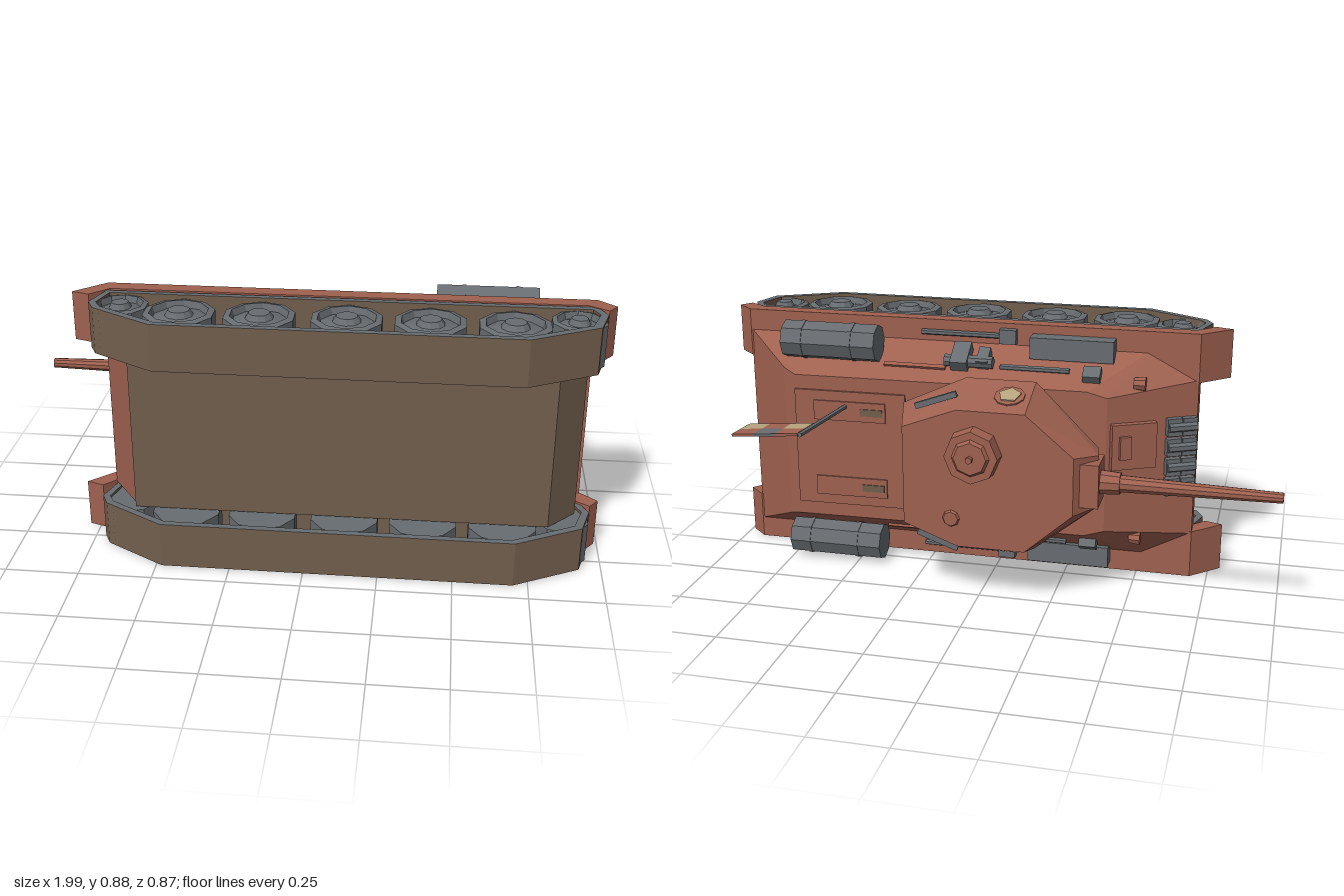
import * as THREE from 'three';
import { ConvexGeometry } from 'three/addons/geometries/ConvexGeometry.js';

export function createModel() {
  const mat = (name, color) => {
    const m = new THREE.MeshStandardMaterial({ color });
    m.name = name;
    return m;
  };
  const red = mat('rust red', 0x9f6150);
  const brown = mat('track brown', 0x725f4d);
  const grey = mat('steel grey', 0x686d71);
  const cream = mat('cream', 0xb7a37e);

  // Tank frame: front is -x, up is +y, sides are +-z; tipped onto its side at the end
  const tank = new THREE.Group();
  tank.name = 'tank';
  const flat = (g) => {
    const f = g.index ? g.toNonIndexed() : g;
    f.computeVertexNormals();
    return f;
  };
  const add = (name, geo, material, p = [0, 0, 0], r = [0, 0, 0], parent = tank) => {
    const m = new THREE.Mesh(flat(geo), material);
    m.name = name;
    m.position.set(...p);
    m.rotation.set(...r);
    parent.add(m);
    return m;
  };
  const box = (name, size, material, p, r, parent) =>
    add(name, new THREE.BoxGeometry(...size), material, p, r, parent);
  const shape = (pts) => new THREE.Shape(pts.map((p) => new THREE.Vector2(...p)));
  const slab = (name, s, depth, material, z) =>
    add(name, new THREE.ExtrudeGeometry(s, { depth, bevelEnabled: false }), material, [0, 0, z - depth / 2]);
  // Convex body from [x, y, halfWidth] points mirrored across z
  const solid = (name, pts, material) =>
    add(name, new ConvexGeometry(pts.flatMap(([x, y, z]) =>
      [new THREE.Vector3(x, y, z), new THREE.Vector3(x, y, -z)])), material);
  // Cylinder lying along x
  const rod = (name, r0, r1, length, sides, material, p, tilt = 0) =>
    add(name, new THREE.CylinderGeometry(r0, r1, length, sides), material, p, [0, 0, Math.PI / 2 + tilt]);

  // Lower hull with its belly plate
  slab('lowerHull', shape([[-0.58, -0.305], [0.805, -0.305], [0.895, -0.21], [0.92, -0.08],
    [-0.69, -0.08], [-0.69, -0.15]]), 0.55, red, 0);
  slab('bellyPlate', shape([[-0.585, -0.312], [0.81, -0.312], [0.905, -0.21], [0.895, -0.21],
    [0.805, -0.305], [-0.585, -0.305]]), 0.56, brown, 0);

  // Sloped upper hull and engine deck
  solid('upperHull', [[-0.69, -0.08, 0.28], [-0.52, -0.08, 0.37], [0.93, -0.08, 0.37],
    [-0.4, 0.07, 0.24], [-0.33, 0.075, 0.26], [0.7, 0.098, 0.26], [0.75, 0.07, 0.275]], red);
  box('engineDeck', [0.4, 0.014, 0.42], red, [0.5, 0.096, 0], [0, 0, 0.02]);
  for (const z of [-0.14, 0.14]) {
    box('deckVent', [0.26, 0.01, 0.07], red, [0.5, 0.104, z], [0, 0, 0.02]);
    box('ventGrille', [0.08, 0.008, 0.025], brown, [0.42, 0.107, z], [0, 0, 0.02]);
  }

  // Glacis hatch and spare track links, laid along the front slope
  const glacis = new THREE.Group();
  glacis.name = 'glacis';
  glacis.position.set(-0.55, -0.007, 0);
  glacis.rotation.z = Math.atan2(0.15, 0.29);
  tank.add(glacis);
  box('driverHatch', [0.16, 0.03, 0.16], red, [0.075, 0.008, 0.07], [0, 0, 0], glacis);
  box('hatchPeriscope', [0.04, 0.02, 0.08], red, [0.11, 0.028, 0.07], [0, 0, 0], glacis);
  for (let i = 0; i < 4; i++) {
    const z = -0.09 + i * 0.072;
    for (const x of [-0.125, -0.07]) box('spareLink', [0.052, 0.03, 0.062], grey, [x, 0.008, z], [0, 0, 0], glacis);
    add('linkPin', new THREE.CylinderGeometry(0.016, 0.016, 0.1, 6), grey, [-0.0975, 0.022, z],
      [0, 0, Math.PI / 2], glacis);
  }

  // Running gear profiles
  const trackOuter = [[-0.68, -0.14], [-0.715, -0.25], [-0.69, -0.3], [-0.48, -0.425], [0.7, -0.43],
    [0.925, -0.31], [0.955, -0.2], [0.925, -0.135]];
  const trackInner = [[-0.665, -0.16], [-0.69, -0.25], [-0.67, -0.285], [-0.47, -0.402], [0.69, -0.407],
    [0.9, -0.295], [0.93, -0.2], [0.91, -0.158]];
  const wheelGeo = (r) => new THREE.LatheGeometry([[0, 0], [r, 0], [r, 0.14], [r * 0.82, 0.145],
    [r * 0.76, 0.122], [r * 0.4, 0.132], [r * 0.3, 0.15], [0, 0.15]]
    .map((p) => new THREE.Vector2(...p)), 10);
  const wheels = [[-0.41, -0.287, 0.118], [-0.15, -0.287, 0.118], [0.13, -0.287, 0.118],
    [0.395, -0.287, 0.118], [0.66, -0.287, 0.118], [-0.612, -0.24, 0.092], [0.862, -0.235, 0.09]];

  for (const s of [-1, 1]) {
    // Track loop: grey edges, brown treads
    const loop = shape(trackOuter);
    loop.holes.push(new THREE.Path(trackInner.map((p) => new THREE.Vector2(...p))));
    slab('track', loop, 0.16, [grey, brown], s * 0.36);
    // Fender with drooping ends
    slab('fender', shape([[-0.79, -0.17], [-0.73, -0.19], [-0.67, -0.13], [0.9, -0.13], [0.96, -0.17],
      [0.99, -0.13], [0.93, -0.075], [-0.69, -0.075]]), 0.17, red, s * 0.3575);
    // Road wheels, idler and sprocket
    for (const [x, y, r] of wheels) {
      add('wheel', wheelGeo(r), grey, [x, y, s * 0.29], [s * Math.PI / 2, 0, 0]);
    }
    // Fuel drum with straps
    rod('fuelDrum', 0.066, 0.066, 0.34, 8, grey, [0.58, 0.032, s * 0.372]);
    for (const x of [0.5, 0.68]) rod('drumStrap', 0.069, 0.069, 0.012, 8, grey, [x, 0.032, s * 0.372]);
    // Stowage and tools on the fender and sloped side
    const tilt = [s * -0.57, 0, 0];
    box('stowageBox', [0.29, 0.06, 0.075], grey, [-0.26, -0.042, s * 0.375]);
    box('smallBox', [0.06, 0.05, 0.05], grey, [-0.34, 0.025, s * 0.3], tilt);
    rod('jackBody', 0.022, 0.022, 0.17, 8, grey, [0.09, 0.02, s * 0.325]);
    box('jackBase', [0.06, 0.1, 0.05], grey, [0.12, 0.005, s * 0.335], tilt);
    box('jackFoot', [0.04, 0.07, 0.04], grey, [0.04, 0.005, s * 0.335], tilt);
    rod('towBar', 0.01, 0.01, 0.24, 6, grey, [-0.14, 0.018, s * 0.312]);
    rod('crowbar', 0.01, 0.01, 0.34, 6, grey, [0.11, -0.062, s * 0.4]);
    box('toolHead', [0.06, 0.03, 0.05], grey, [-0.03, -0.06, s * 0.4]);
    box('sideRail', [0.22, 0.015, 0.015], red, [0.28, 0.035, s * 0.3], tilt);
    // Turret side patch and grab handle
    const face = s * (Math.PI / 2 - 0.32);
    add('patchRing', new THREE.CylinderGeometry(0.052, 0.052, 0.008, 10), red, [-0.1, 0.22, s * 0.271],
      [face, 0, 0]);
    add('turretPatch', new THREE.CylinderGeometry(0.039, 0.039, 0.009, 5), cream, [-0.1, 0.221, s * 0.275],
      [face, 0, 0]);
    box('grabHandle', [0.15, 0.014, 0.02], grey, [0.145, 0.245, s * 0.25], [0, s * 0.35, 0]);
    // Front lamp
    rod('lamp', 0.025, 0.02, 0.04, 8, red, [-0.5, 0.005, s * 0.28]);
  }

  // Turret
  solid('turret', [
    [-0.28, 0.08, 0.12], [-0.12, 0.08, 0.25], [0.08, 0.08, 0.25], [0.2, 0.08, 0.15],
    [-0.39, 0.17, 0.1], [-0.17, 0.13, 0.3], [0.07, 0.13, 0.3], [0.29, 0.14, 0.2],
    [-0.4, 0.22, 0.09], [-0.33, 0.3, 0.1], [-0.17, 0.31, 0.24], [0.06, 0.31, 0.24], [0.245, 0.31, 0.17],
  ], red);
  add('turretRing', new THREE.CylinderGeometry(0.24, 0.24, 0.04, 16), red, [-0.04, 0.085, 0]);
  add('cupola', new THREE.CylinderGeometry(0.09, 0.095, 0.05, 8), red, [0, 0.333, 0.095]);
  add('cupolaLid', new THREE.CylinderGeometry(0.055, 0.065, 0.012, 8), red, [0, 0.363, 0.095]);
  add('cupolaKnob', new THREE.CylinderGeometry(0.012, 0.012, 0.02, 6), red, [0, 0.375, 0.095]);
  add('ventDome', new THREE.CylinderGeometry(0.025, 0.032, 0.012, 8), red, [0.08, 0.313, -0.14]);

  // Gun and mantlet
  box('mantlet', [0.08, 0.12, 0.15], red, [-0.37, 0.22, 0]);
  rod('gunSleeve', 0.044, 0.037, 0.09, 10, red, [-0.43, 0.222, 0], Math.PI);
  rod('gunBarrel', 0.018, 0.03, 0.56, 10, red, [-0.72, 0.228, 0], -0.02);

  // Flag on its pole
  add('flagPole', new THREE.CylinderGeometry(0.009, 0.009, 0.34, 6), grey, [0.535, 0.265, 0.157], [0, 0, -0.12]);
  const flag = new THREE.Group();
  flag.name = 'flag';
  flag.position.set(0.678, 0.365, 0.143);
  flag.rotation.set(0, 0.13, -0.14);
  tank.add(flag);
  [[red, grey, red], [cream, red, cream]].forEach((row, j) => row.forEach((m, i) =>
    box('flagPanel', [0.084, 0.056, 0.009], m, [(i - 1) * 0.084, 0.028 - j * 0.056, 0], [0, 0, 0], flag)));

  // Lay the tank on its side
  tank.rotation.x = -Math.PI / 2;
  tank.position.y = 0.45;
  const model = new THREE.Group();
  model.name = 'model';
  model.add(tank);
  return model;
}
